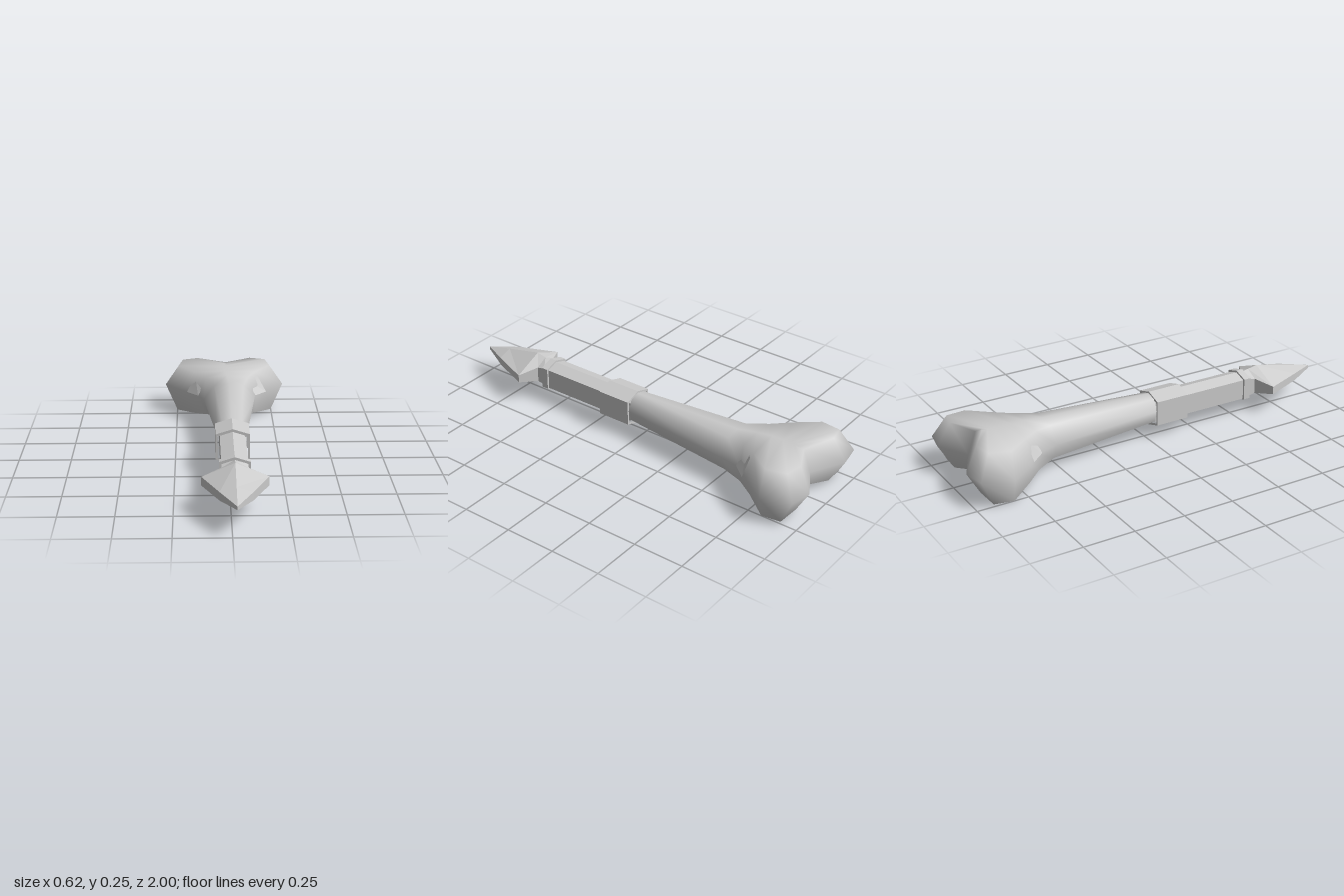
import * as THREE from 'three';
import { mergeVertices } from 'three/addons/utils/BufferGeometryUtils.js';

const material = (flatShading) =>
  new THREE.MeshStandardMaterial({ color: 0xcccccc, side: THREE.DoubleSide, flatShading });

// Skin a grid of points: rows of equal length, joined row to row
function skin(name, rows, flat) {
  const cols = rows[0].length;
  const index = [];
  for (let i = 0; i < rows.length - 1; i++) {
    for (let j = 0; j < cols - 1; j++) {
      const a = i * cols + j, b = a + cols;
      index.push(a, b, a + 1, b, b + 1, a + 1);
    }
  }
  let geometry = new THREE.BufferGeometry();
  geometry.setAttribute('position', new THREE.Float32BufferAttribute(rows.flat(2), 3));
  geometry.setIndex(index);
  geometry = flat ? geometry.toNonIndexed() : mergeVertices(geometry, 1e-4);
  geometry.computeVertexNormals();
  const mesh = new THREE.Mesh(geometry, material(flat));
  mesh.name = name;
  return mesh;
}

const CX = 0.02; // axis of the shaft, slightly off centre

// Gabled section, open underneath: side wall, roof, side wall
const gable = (z, w, low, eave, ridge) => [
  [CX - w, low, z], [CX - w, eave, z], [CX, ridge, z], [CX + w, eave, z], [CX + w, low, z],
];

// Six-sided outline for the ends of a band
const hexagon = (w, low, eave, ridge, keel) =>
  [[0, keel], [w, low], [w, eave], [0, ridge], [-w, eave], [-w, low]]
    .map(([x, y]) => new THREE.Vector2(CX + x, y));

// Band: gabled cover closed by a flat hexagonal ring at each end
function band(name, z0, z1, outer, inner) {
  const group = new THREE.Group();
  group.name = name;
  const [w, low, eave, ridge] = outer;
  group.add(skin(name + 'Cover', [gable(z0, w, low, eave, ridge), gable(z1, w, low, eave, ridge)], true));
  const shape = new THREE.Shape(hexagon(...outer));
  shape.holes.push(new THREE.Path(hexagon(...inner).reverse()));
  for (const z of [z0, z1]) {
    const ring = new THREE.Mesh(new THREE.ShapeGeometry(shape), material(true));
    ring.name = name + 'EndRing';
    // Rear ring faces backwards
    if (z === z0) {
      ring.rotation.y = Math.PI;
      ring.position.x = 2 * CX;
    }
    ring.position.z = z;
    group.add(ring);
  }
  return group;
}

// Bone: shell with an open underside, following its outline along one side,
// round the two knuckles and back. Each station holds
// [centre x, rim (dx, y, z), widest (dx, y, z), shoulder (dx, y, z), spine (y, z)]
function bone() {
  const stations = [
    [0.02, 0.05, 0.08, 0.05, 0.072, 0.14, 0.05, 0.045, 0.195, 0.05, 0.208, 0.05],
    [0.02, 0.1, 0.06, -0.53, 0.13, 0.14, -0.53, 0.075, 0.215, -0.53, 0.225, -0.53],
    [0.01, 0.115, 0.035, -0.62, 0.15, 0.135, -0.64, 0.11, 0.23, -0.63, 0.24, -0.63],
    [0, 0.165, 0.018, -0.7, 0.215, 0.135, -0.71, 0.16, 0.238, -0.71, 0.245, -0.7],
    [0, 0.25, 0, -0.82, 0.312, 0.135, -0.84, 0.24, 0.243, -0.82, 0.247, -0.76],
    [0, 0.25, 0.012, -0.92, 0.265, 0.14, -0.98, 0.22, 0.25, -0.92, 0.247, -0.8],
    [0, 0.14, 0.02, -0.93, 0.155, 0.14, -1, 0.14, 0.253, -0.94, 0.247, -0.82],
    [0.01, 0, 0.052, -0.88, 0, 0.14, -0.915, 0, 0.246, -0.875, 0.247, -0.84],
  ];
  const row = (s, side) => [
    ...[1, 4, 7].map((k) => [s[0] + side * s[k], s[k + 1], s[k + 2]]),
    [s[0], s[10], s[11]],
  ];
  const rows = stations.map((s) => row(s, 1));
  for (const s of stations.slice(0, -1).reverse()) rows.push(row(s, -1));
  return skin('bone', rows, false);
}

export function createModel() {
  const model = new THREE.Group();
  model.add(bone());

  // Flat chips set into the shoulders of the knuckles
  for (const side of [1, -1]) {
    const p = (dx, y, z) => [0.01 + side * dx, y, z];
    const rows = [
      [p(0.15, 0.135, -0.62), p(0.1, 0.215, -0.64)],
      [p(0.208, 0.135, -0.69), p(0.163, 0.217, -0.7)],
    ];
    model.add(skin('shoulderChip', side > 0 ? rows : rows.reverse(), true));
  }

  // Shaft between the bone and the point
  model.add(skin('shaft', [
    gable(0.04, 0.06, 0.08, 0.18, 0.2),
    gable(0.58, 0.06, 0.08, 0.18, 0.2),
  ], true));

  // Bands: half width, wall foot, eave, ridge, keel
  model.add(band('gripBand', 0.04, 0.21,
    [0.08, 0.07, 0.192, 0.217, 0.043], [0.07, 0.077, 0.182, 0.204, 0.055]));
  model.add(band('collarBand', 0.55, 0.585,
    [0.07, 0.08, 0.187, 0.209, 0.055], [0.056, 0.095, 0.178, 0.197, 0.08]));

  // Ridged point, hollow underneath
  model.add(skin('spearPoint', [
    gable(0.58, 0.058, 0.085, 0.178, 0.196),
    gable(0.62, 0.06, 0.095, 0.172, 0.203),
    gable(0.67, 0.148, 0.11, 0.15, 0.213),
    gable(0.86, 0.072, 0.112, 0.15, 0.172),
    gable(1, 0, 0.122, 0.138, 0.138),
  ], true));

  return model;
}
